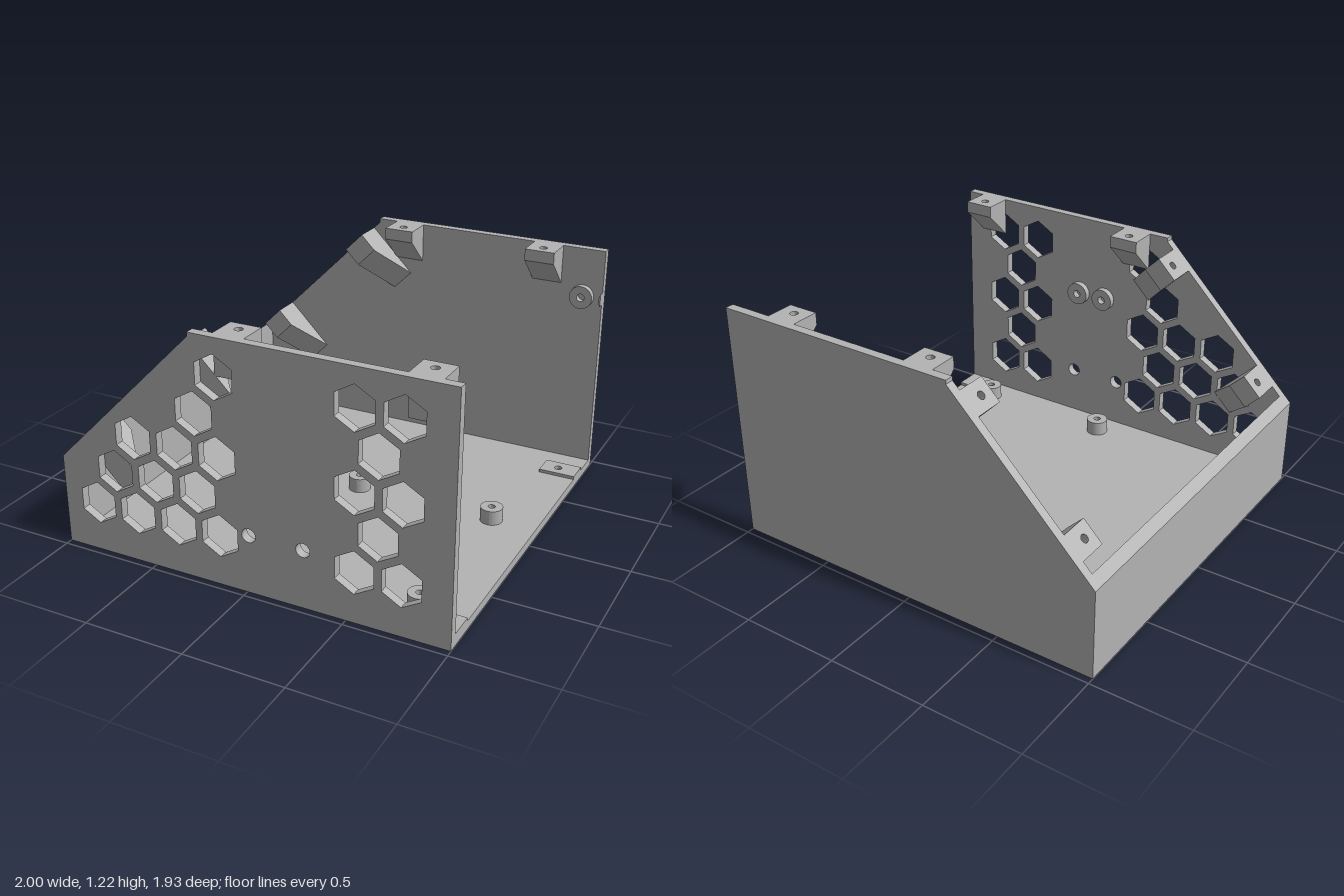
import * as THREE from 'three';
import { toCreasedNormals } from 'three/addons/utils/BufferGeometryUtils.js';

const T = 0.045;   // wall thickness
const ZI = 0.92;   // inner face of the side walls
const grey = new THREE.MeshStandardMaterial({ color: 0xb3b3b3 });
grey.name = 'grey plastic';

function part(name, geometry) {
  const mesh = new THREE.Mesh(geometry, grey);
  mesh.name = name;
  return mesh;
}

function extrude(shape, depth) {
  const g = new THREE.ExtrudeGeometry(shape, { depth, bevelEnabled: false, curveSegments: 28 });
  return toCreasedNormals(g, 0.6);
}

function polygon(points) {
  return new THREE.Shape(points.map(([x, y]) => new THREE.Vector2(x, y)));
}

function circle(x, y, r) {
  return new THREE.Path().absarc(x, y, r, 0, Math.PI * 2, true);
}

function rect(x0, y0, x1, y1) {
  return polygon([[x0, y0], [x1, y0], [x1, y1], [x0, y1]]);
}

// Side wall outline with the 45 degree front edge and small step
function wallShape() {
  return polygon([[-1, 0], [1, 0], [1, 1.22], [-0.26, 1.22], [-0.26, 1.2], [-1, 0.46]]);
}

function hexagon(cx, cy, r) {
  const pts = [];
  for (let i = 0; i < 6; i++) {
    const a = Math.PI / 2 - i * Math.PI / 3;
    pts.push(new THREE.Vector2(cx + r * Math.cos(a), cy + r * Math.sin(a)));
  }
  return new THREE.Path(pts);
}

// Round collar with a bore, extruded along +z
function collar(r, bore, depth) {
  const s = new THREE.Shape().absarc(0, 0, r, 0, Math.PI * 2, false);
  s.holes.push(circle(0, 0, bore));
  return extrude(s, depth);
}

// Screw lug: drilled plate over a tapering wedge; top at y = 0, wall at z = 0
function screwLug(name, width, depth, tip, root) {
  const g = new THREE.Group();
  g.name = name;
  const plate = rect(-width / 2, 0, width / 2, depth);
  plate.holes.push(circle(0, 0.085, 0.02));
  g.add(part('lugPlate', extrude(plate, tip).rotateX(Math.PI / 2)));
  const wedge = polygon([[0, -tip], [0, -root], [depth, -tip]]);
  g.add(part('lugWedge', extrude(wedge, width).rotateY(-Math.PI / 2).translate(width / 2, 0, 0)));
  return g;
}

export function createModel() {
  const model = new THREE.Group();
  model.name = 'enclosure';

  // Floor
  model.add(part('floor', new THREE.BoxGeometry(2, T, 2 * ZI).translate(0, T / 2, 0)));

  // Low end wall with sloping top
  const end = polygon([[-1, T], [-1 + T, T], [-1 + T, 0.46 + T], [-1, 0.46]]);
  model.add(part('endWall', extrude(end, 2 * ZI).translate(0, 0, -ZI)));

  // Plain back wall
  model.add(part('backWall', extrude(wallShape(), T).translate(0, 0, -ZI - T)));

  // Front wall with honeycomb vents and two cable holes
  const front = wallShape();
  const rows = [
    [-0.81, -0.585, -0.36, -0.137, 0.54, 0.765],
    [-0.697, -0.472, -0.248, 0.652],
    [-0.585, -0.36, -0.137, 0.54, 0.765],
    [-0.248, 0.652],
    [-0.137, 0.54, 0.765],
  ];
  rows.forEach((xs, i) => xs.forEach((x) => front.holes.push(hexagon(x, 0.255 + i * 0.1945, 0.108))));
  for (const x of [0.015, 0.29]) front.holes.push(circle(x, 0.297, 0.035));
  model.add(part('frontWall', extrude(front, T).translate(0, 0, ZI)));

  // Screw lugs on both walls: along the top edge and along the slope
  for (const side of [-1, 1]) {
    const turn = side > 0 ? Math.PI : 0;
    for (const x of [-0.08, side > 0 ? 0.835 : 0.7]) {
      const lug = screwLug('topLug', 0.155, 0.145, 0.06, 0.2);
      lug.position.set(x, 1.22, side * ZI);
      lug.rotation.y = turn;
      model.add(lug);
    }
    for (const x of [-0.863, -0.343]) {
      const lug = screwLug('slopeLug', 0.135, 0.152, 0.106, 0.318);
      lug.rotation.y = turn;
      const tilt = new THREE.Group();
      tilt.name = 'slopeLugMount';
      tilt.position.set(x, x + 1.46, side * ZI);
      tilt.rotation.z = Math.PI / 4;
      tilt.add(lug);
      model.add(tilt);
    }
  }

  // Board standoffs on the floor
  for (const x of [0.045, 0.77]) {
    for (const z of [-0.08, 0.78]) {
      const g = collar(0.056, 0.018, 0.075).rotateX(-Math.PI / 2);
      model.add(part('standoff', g.translate(x, T, z)));
    }
  }

  // Thin drilled pads at the open end
  for (const [z0, z1] of [[-0.79, -0.67], [0.785, ZI]]) {
    const pad = rect(0.81, z0, 1, z1);
    pad.holes.push(circle(0.895, (z0 + z1) / 2, 0.02));
    model.add(part('floorPad', extrude(pad, 0.017).rotateX(Math.PI / 2).translate(0, T + 0.017, 0)));
  }

  // Round collars inside the walls
  for (const x of [0.107, 0.262]) {
    model.add(part('frontCollar', collar(0.06, 0.02, 0.033).translate(x, 0.787, ZI - 0.033)));
  }
  model.add(part('backCollar', collar(0.06, 0.02, 0.033).translate(0.895, 0.967, -ZI)));

  // Second back collar, cut off by the open edge
  const a = Math.acos(0.05 / 0.06);
  const sliver = new THREE.Shape().absarc(1.05, 0.967, 0.06, Math.PI - a, Math.PI + a, false);
  model.add(part('cutCollar', extrude(sliver, 0.033).translate(0, 0, -ZI)));

  return model;
}
